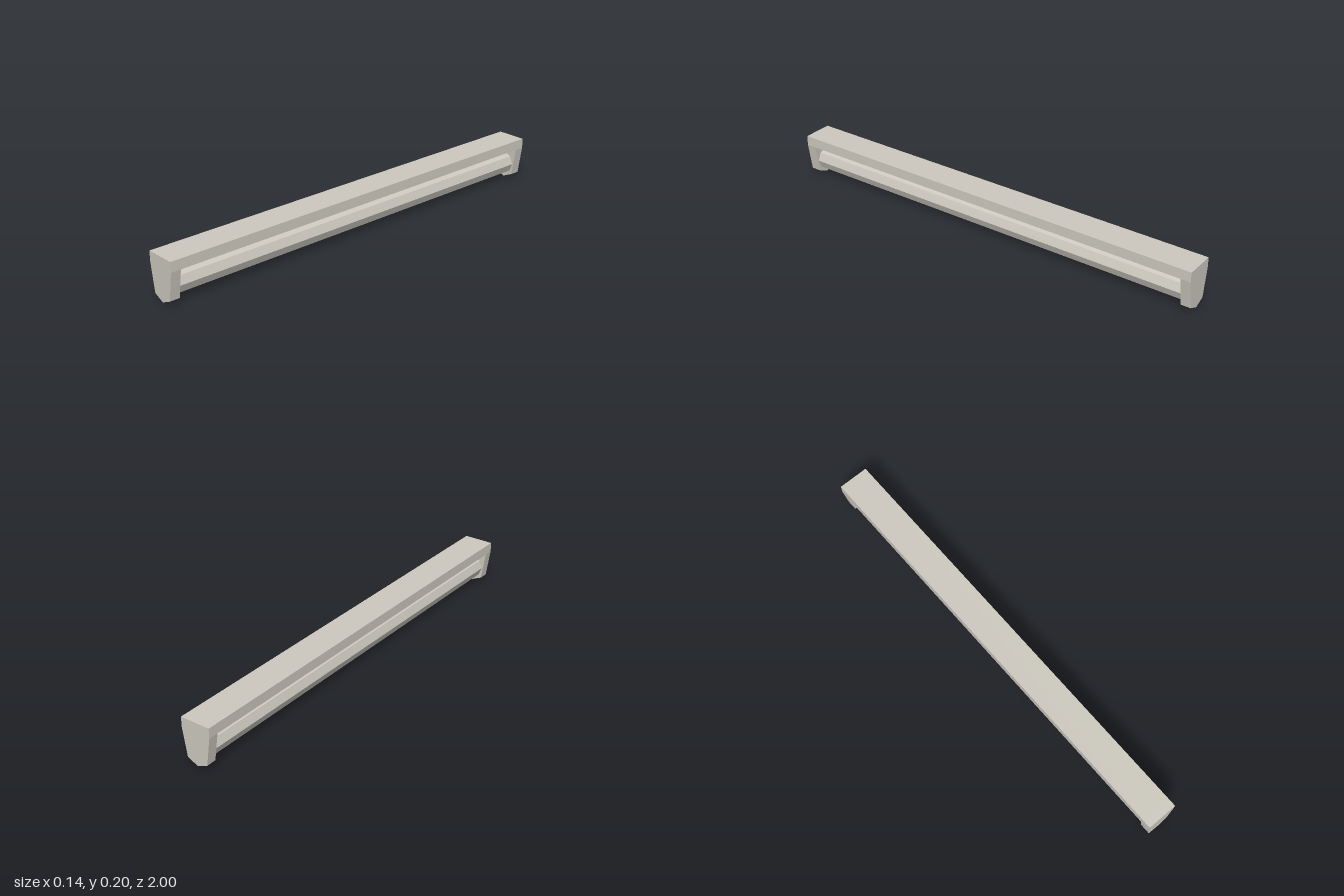
import * as THREE from 'three';

export function createModel() {
  const group = new THREE.Group();
  group.name = 'tubeLight';
  const paint = new THREE.MeshStandardMaterial({ color: 0xccc8be, flatShading: true });
  paint.name = 'warm grey';

  const add = (name, geometry, x, y, z) => {
    const mesh = new THREE.Mesh(geometry, paint);
    mesh.name = name;
    mesh.position.set(x, y, z);
    group.add(mesh);
    return mesh;
  };

  const halfWidth = 0.069, top = 0.195, barBottom = 0.15, capDepth = 0.045;
  const innerLength = 2 - 2 * capDepth;

  // Top housing bar between the end caps
  add('housingBar', new THREE.BoxGeometry(2 * halfWidth, top - barBottom, innerLength),
    0, (top + barBottom) / 2, 0);

  // Tapered end caps with a pointed lower edge
  const profile = new THREE.Shape([
    [-halfWidth, top], [-halfWidth, barBottom], [-0.049, 0.022], [0, 0],
    [0.049, 0.022], [halfWidth, barBottom], [halfWidth, top],
  ].map(([x, y]) => new THREE.Vector2(x, y)));
  const cap = new THREE.ExtrudeGeometry(profile, { depth: capDepth, bevelEnabled: false });
  add('frontCap', cap, 0, 0, 1 - capDepth);
  add('backCap', cap, 0, 0, -1);

  // Eight-sided tube, with an edge pointing straight up
  const tube = new THREE.CylinderGeometry(0.051, 0.051, innerLength, 8);
  tube.rotateX(Math.PI / 2);
  add('tube', tube, 0, 0.073, 0);

  return group;
}
